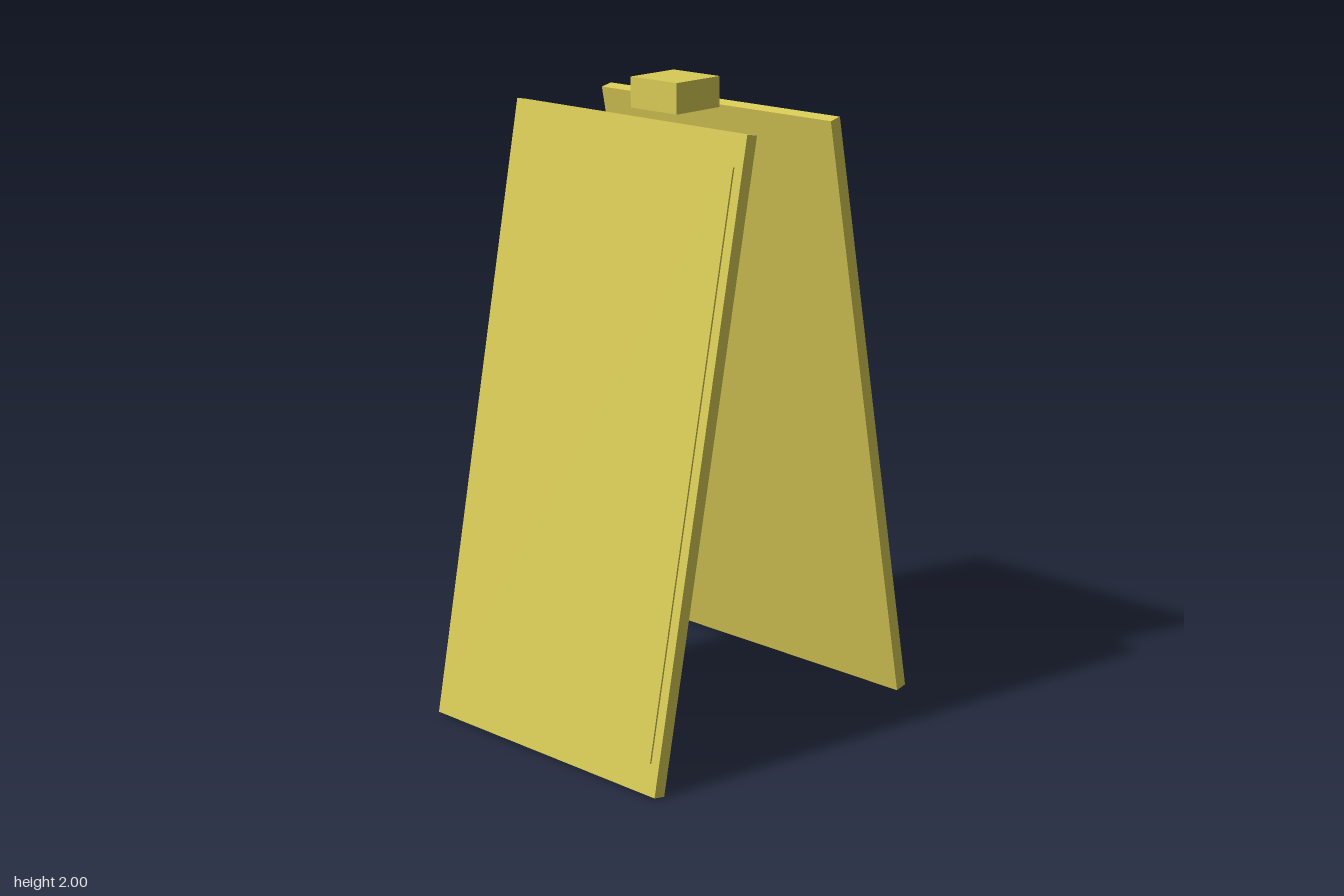
import * as THREE from 'three';

const TILT = 0.2;        // lean of each board, radians
const THICK = 0.042;
const LENGTH = 1.938;
const FACE_RAISE = 0.006;

export function createModel() {
  const model = new THREE.Group();
  model.name = 'foldingFloorSign';

  const yellow = new THREE.MeshStandardMaterial({ color: 0xd8ca56 });
  yellow.name = 'signYellow';

  const addBox = (parent, name, w, h, d, x, y, z) => {
    const mesh = new THREE.Mesh(new THREE.BoxGeometry(w, h, d), yellow);
    mesh.name = name;
    mesh.position.set(x, y, z);
    parent.add(mesh);
  };

  // One leaning board with a raised panel on its outer (+z) face
  const makeBoard = (name) => {
    const board = new THREE.Group();
    board.name = name;
    const leaning = new THREE.Group();
    leaning.name = name + 'Lean';
    leaning.position.set(0, 0.954, 0.376);
    leaning.rotation.x = -TILT;
    addBox(leaning, 'board', 0.935, LENGTH, THICK, 0, 0, 0);
    addBox(leaning, 'raisedPanel', 0.874, 1.745, FACE_RAISE, 0, 0, (THICK + FACE_RAISE) / 2);
    board.add(leaning);
    return board;
  };

  // Front and back boards
  const front = makeBoard('frontBoard');
  const back = makeBoard('backBoard');
  back.rotation.y = Math.PI;
  model.add(front, back);

  // Handle block between the boards' top edges
  addBox(model, 'topHandle', 0.187, 0.093, 0.187, 0, 1.9535, 0);

  return model;
}
